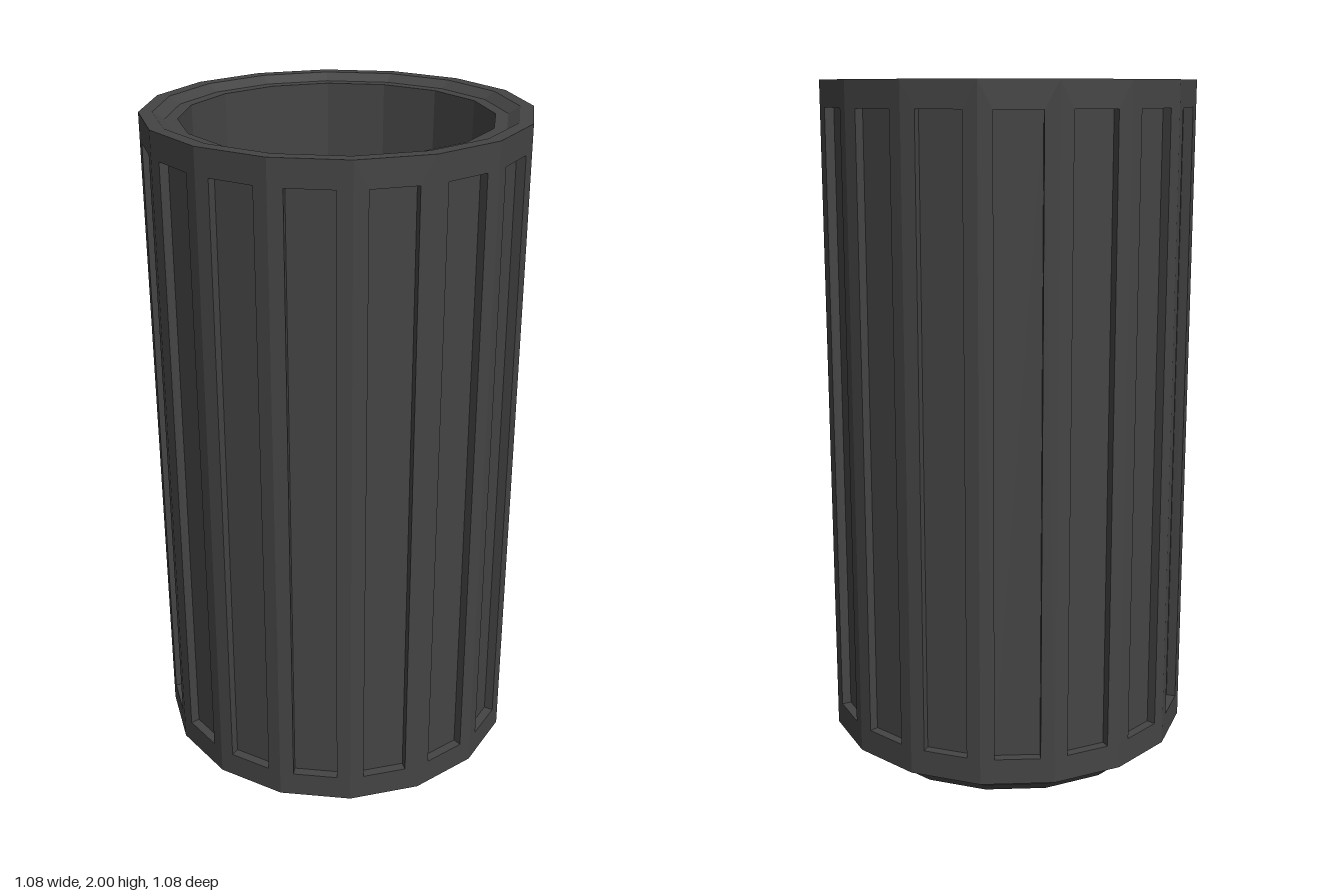
import * as THREE from 'three';

const SIDES = 16, R = 0.54, Y0 = 0.065, Y1 = 2;
const material = new THREE.MeshStandardMaterial({ color: 0x444444, flatShading: true });

function lathe(name, points) {
  const profile = points.map(([r, y]) => new THREE.Vector2(r, y));
  const mesh = new THREE.Mesh(new THREE.LatheGeometry(profile, SIDES), material);
  mesh.name = name;
  return mesh;
}

// One flat wall facet with a recessed rectangular panel, facing +z
function panelGeometry() {
  const apothem = R * Math.cos(Math.PI / SIDES);
  const half = R * Math.sin(Math.PI / SIDES);
  const loop = (w, y0, y1, z) => [[-w, y0, z], [w, y0, z], [w, y1, z], [-w, y1, z]];
  const loops = [
    loop(half, Y0, Y1, apothem),
    loop(0.065, 0.14, 1.925, apothem),
    loop(0.065, 0.14, 1.925, apothem - 0.027),
  ];
  const index = [];
  for (let k = 0; k < 2; k++) {
    for (let i = 0; i < 4; i++) {
      const a = k * 4 + i, b = k * 4 + (i + 1) % 4;
      index.push(a, b, b + 4, a, b + 4, a + 4);
    }
  }
  index.push(8, 9, 10, 8, 10, 11);
  const geometry = new THREE.BufferGeometry();
  geometry.setAttribute('position', new THREE.Float32BufferAttribute(loops.flat(2), 3));
  geometry.setIndex(index);
  const flat = geometry.toNonIndexed();
  flat.computeVertexNormals();
  return flat;
}

export function createModel() {
  const model = new THREE.Group();
  model.name = 'cup';

  // Narrower bevelled foot and the step out to the wall
  model.add(lathe('foot', [[0, 0], [0.448, 0], [0.468, 0.025], [0.468, Y0], [R, Y0]]));

  // Rim with a shallow chamfered seat
  model.add(lathe('rim', [[R, Y1], [0.502, Y1], [0.47, 1.98], [0.435, 1.98]]));

  // Tapered inside wall and floor
  model.add(lathe('interior', [[0.435, 1.98], [0.402, 0.08], [0, 0.08]]));

  // Outer wall of recessed panels
  const wall = new THREE.Group();
  wall.name = 'outerWall';
  const geometry = panelGeometry();
  for (let i = 0; i < SIDES; i++) {
    const panel = new THREE.Mesh(geometry, material);
    panel.name = 'wallPanel';
    panel.rotation.y = (i + 0.5) * 2 * Math.PI / SIDES;
    wall.add(panel);
  }
  model.add(wall);
  return model;
}
